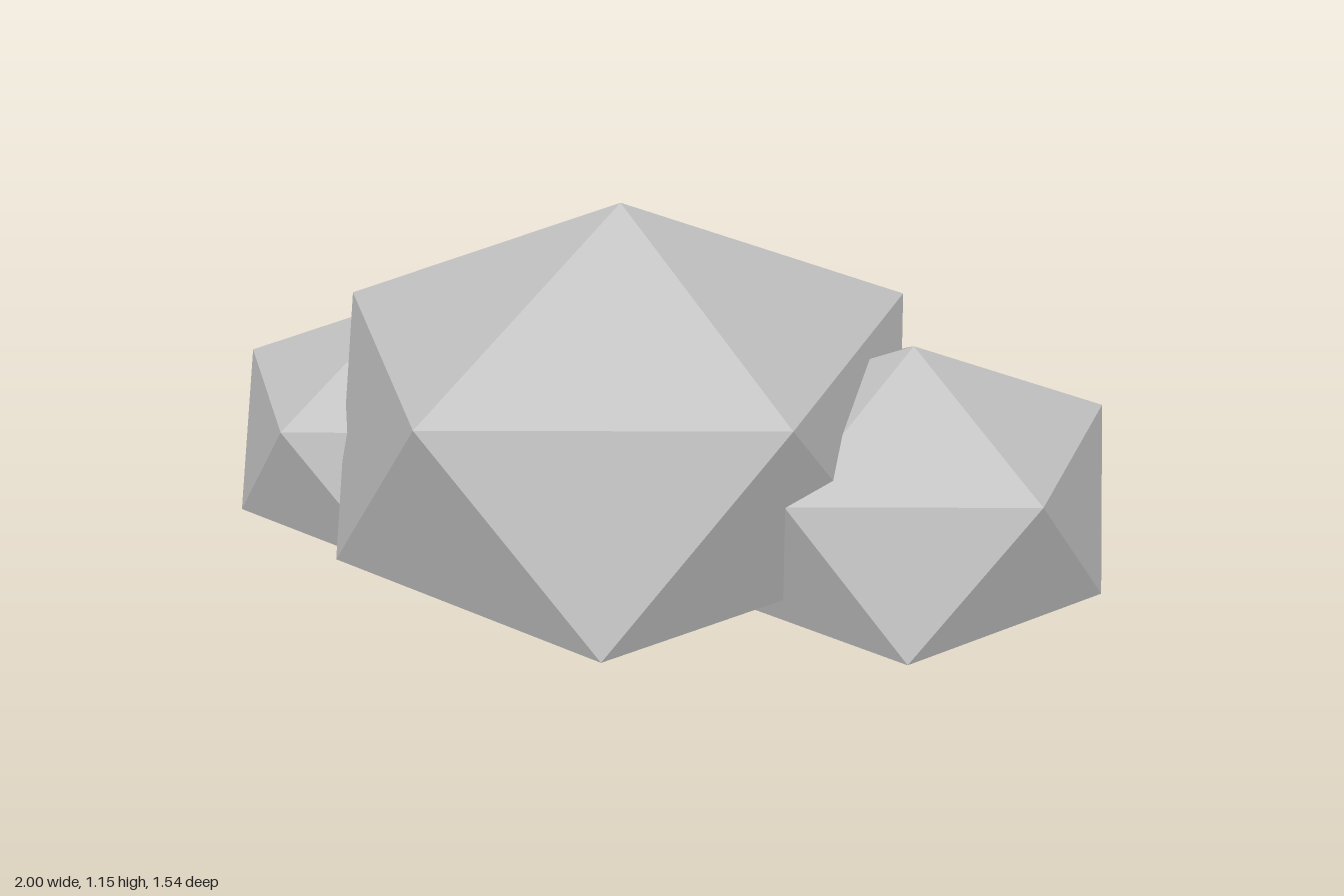
import * as THREE from 'three';

const stone = new THREE.MeshStandardMaterial({ color: 0xc2c2c2, flatShading: true });
stone.name = 'light stone grey';

// Icosahedron standing on a corner, one upper ring corner toward +x, squashed
function rock(name, radius, x, y, z) {
  const geometry = new THREE.IcosahedronGeometry(radius, 0);
  geometry.rotateZ(-Math.atan(2 / (1 + Math.sqrt(5))));
  geometry.scale(1.1, 0.8, 1);
  geometry.computeVertexNormals();
  const mesh = new THREE.Mesh(geometry, stone);
  mesh.name = name;
  mesh.position.set(x, y, z);
  return mesh;
}

export function createModel() {
  const group = new THREE.Group();
  group.name = 'rockCluster';
  group.add(
    rock('mainRock', 0.719, -0.12, 0.575, 0.05),
    rock('frontRock', 0.503, 0.503, 0.432, 0.338),
    rock('backRock', 0.454, -0.552, 0.41, -0.383),
  );
  return group;
}
